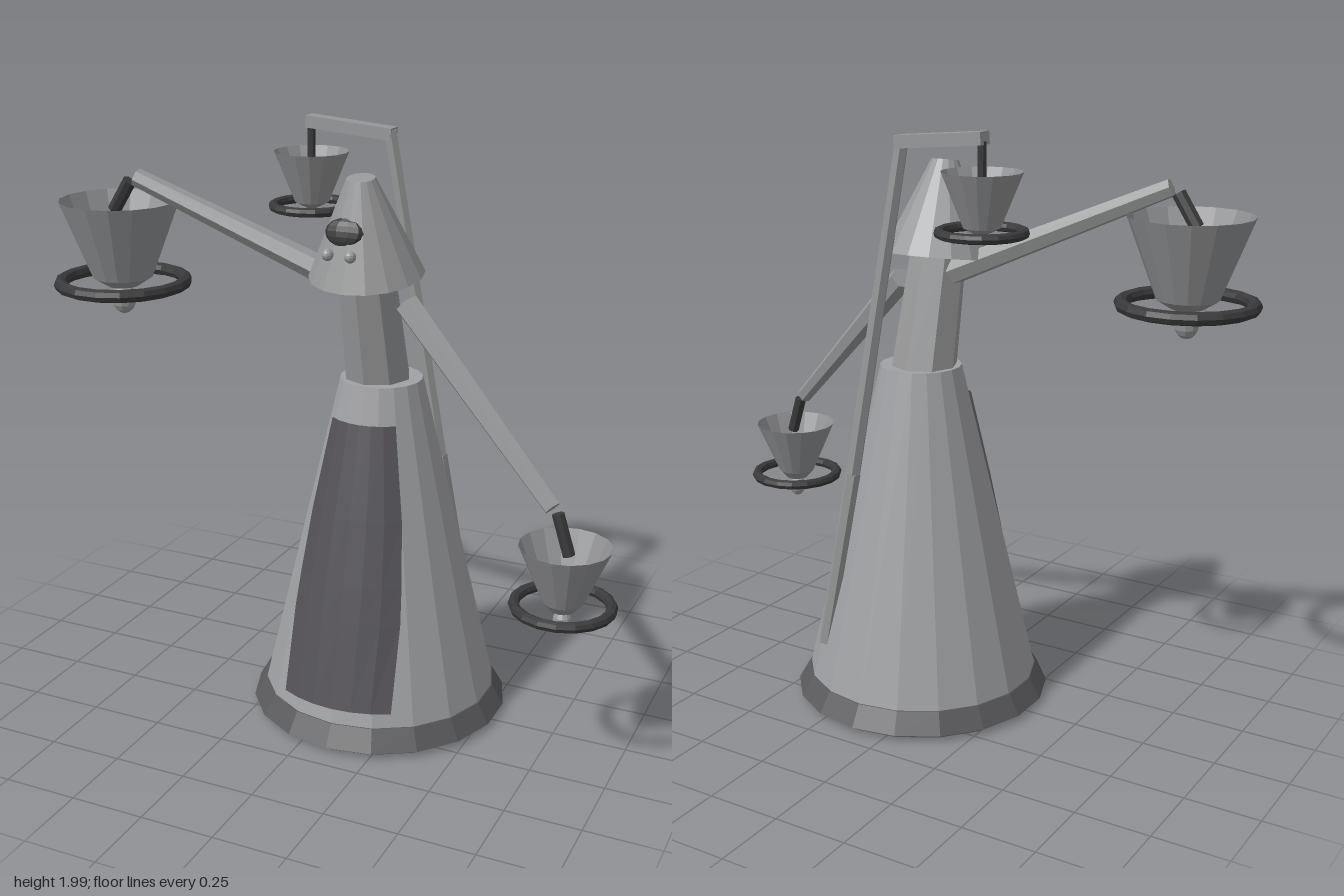
import * as THREE from 'three';

const V = (x, y, z) => new THREE.Vector3(x, y, z);

function material(name, color, doubleSided = false) {
  const m = new THREE.MeshStandardMaterial({ color, flatShading: true });
  m.name = name;
  if (doubleSided) m.side = THREE.DoubleSide;
  return m;
}

export function createModel() {
  const group = new THREE.Group();
  const bodyGrey = material('bodyGrey', 0xa0a1a4);
  const metalGrey = material('metalGrey', 0x979899);
  const cupGrey = material('cupGrey', 0x909193, true);
  const rimGrey = material('rimGrey', 0x5a5a5d);
  const panelGrey = material('panelGrey', 0x535156, true);
  const darkGrey = material('darkGrey', 0x39393b);

  function add(name, geometry, mat, x = 0, y = 0, z = 0, parent = group) {
    const mesh = new THREE.Mesh(geometry, mat);
    mesh.name = name;
    mesh.position.set(x, y, z);
    parent.add(mesh);
    return mesh;
  }

  // Tapered rod running from a to b
  function strut(name, a, b, ra, rb, sides, mat) {
    const dir = b.clone().sub(a);
    const mid = a.clone().add(b).multiplyScalar(0.5);
    const mesh = add(name, new THREE.CylinderGeometry(rb, ra, dir.length(), sides), mat, mid.x, mid.y, mid.z);
    mesh.quaternion.setFromUnitVectors(V(0, 1, 0), dir.normalize());
    return mesh;
  }

  // Skirted base and body
  const cx = 0.108, cz = -0.005;
  add('basePlate', new THREE.CylinderGeometry(0.41, 0.41, 0.03, 18), rimGrey, cx, 0.015, cz);
  add('baseRim', new THREE.CylinderGeometry(0.40, 0.44, 0.07, 18), rimGrey, cx, 0.055, cz);
  add('body', new THREE.CylinderGeometry(0.137, 0.398, 1.1, 18), bodyGrey, cx, 0.63, cz);

  // Front panel wrapped round the body: [height, half width]
  const rows = [[0.145, 0.193], [0.43, 0.19], [0.55, 0.181], [0.76, 0.16], [1.065, 0.112]];
  const cols = 6, positions = [], index = [];
  rows.forEach(([y, half], r) => {
    const radius = 0.412 - (y - 0.09) * 0.2375;
    for (let c = 0; c <= cols; c++) {
      const a = Math.asin(half / radius) * (c / cols * 2 - 1);
      positions.push(cx + Math.sin(a) * radius, y, cz + Math.cos(a) * radius);
      if (r < rows.length - 1 && c < cols) {
        const i = r * (cols + 1) + c, j = i + cols + 1;
        index.push(i, i + 1, j + 1, i, j + 1, j);
      }
    }
  });
  const panel = new THREE.BufferGeometry();
  panel.setAttribute('position', new THREE.Float32BufferAttribute(positions, 3));
  panel.setIndex(index);
  panel.computeVertexNormals();
  add('frontPanel', panel, panelGrey);

  // Leaning neck and tilted conical head
  strut('neck', V(0.095, 1.14, -0.012), V(0.09, 1.56, 0.082), 0.112, 0.095, 8, metalGrey);
  strut('head', V(0.085, 1.538, 0.066), V(0.085, 1.85, 0.113), 0.187, 0.046, 16, metalGrey);
  const mark = add('faceMark', new THREE.SphereGeometry(1, 10, 8), darkGrey, 0.065, 1.692, 0.19);
  mark.scale.set(0.066, 0.045, 0.022);
  mark.rotation.x = -0.29;
  for (const x of [0.04, 0.116]) {
    add('eye', new THREE.SphereGeometry(0.019, 10, 8), metalGrey, x, 1.634, 0.26);
  }

  // Arms with their short hooks
  strut('rightArm', V(0.02, 1.492, 0.05), V(-0.695, 1.805, 0.172), 0.046, 0.03, 6, metalGrey);
  strut('leftArm', V(0.22, 1.45, 0.055), V(0.78, 0.915, 0.232), 0.043, 0.028, 6, metalGrey);
  strut('rightHook', V(-0.72, 1.79, 0.17), V(-0.785, 1.69, 0.17), 0.024, 0.024, 8, darkGrey);
  strut('leftHook', V(0.798, 0.9, 0.232), V(0.84, 0.77, 0.235), 0.02, 0.02, 8, darkGrey);

  // Rear pole bending into the body, with its crossbar
  const poleTop = V(0.045, 1.95, -0.205), poleMid = V(0.225, 0.84, -0.246), poleEnd = V(0.325, 0.22, -0.288);
  strut('rearPoleUpper', poleTop, poleMid, 0.023, 0.026, 6, metalGrey);
  strut('rearPoleLower', poleMid, poleEnd, 0.026, 0.024, 6, metalGrey);
  const bar = add('crossbar', new THREE.BoxGeometry(0.31, 0.04, 0.055), metalGrey, -0.098, 1.952, -0.21);
  bar.rotation.z = -0.085;
  strut('rearHook', V(-0.243, 1.955, -0.21), V(-0.243, 1.82, -0.21), 0.014, 0.014, 8, darkGrey);

  // Hanging funnel cup with a ring and an optional bulb underneath
  function cup(name, x, y, z, o) {
    const g = new THREE.Group();
    g.name = name;
    g.position.set(x, y, z);
    group.add(g);
    const profile = [[o.hole, -o.depth - 0.03], [o.low, -o.depth], [o.top, 0]];
    add('cupShell', new THREE.LatheGeometry(profile.map(p => new THREE.Vector2(...p)), 16), cupGrey, 0, 0, 0, g);
    const ring = add('cupRing', new THREE.TorusGeometry(o.ring - o.tube, o.tube, 8, 18), darkGrey, 0, -o.ringDrop, 0, g);
    ring.rotation.x = Math.PI / 2;
    if (o.bulb) {
      const bulb = add('cupBulb', new THREE.SphereGeometry(o.bulb, 10, 8), metalGrey, 0, -o.bulbDrop, 0, g);
      bulb.scale.y = 1.25;
    }
  }
  cup('rightCup', -0.766, 1.725, 0.168,
    { top: 0.2, low: 0.1, hole: 0.052, depth: 0.26, ring: 0.231, tube: 0.022, ringDrop: 0.277, bulb: 0.041, bulbDrop: 0.336 });
  cup('leftCup', 0.828, 0.8, 0.235,
    { top: 0.145, low: 0.065, hole: 0.038, depth: 0.185, ring: 0.17, tube: 0.018, ringDrop: 0.2, bulb: 0.03, bulbDrop: 0.252 });
  cup('rearCup', -0.242, 1.865, -0.208,
    { top: 0.127, low: 0.058, hole: 0, depth: 0.17, ring: 0.148, tube: 0.016, ringDrop: 0.184 });

  return group;
}
